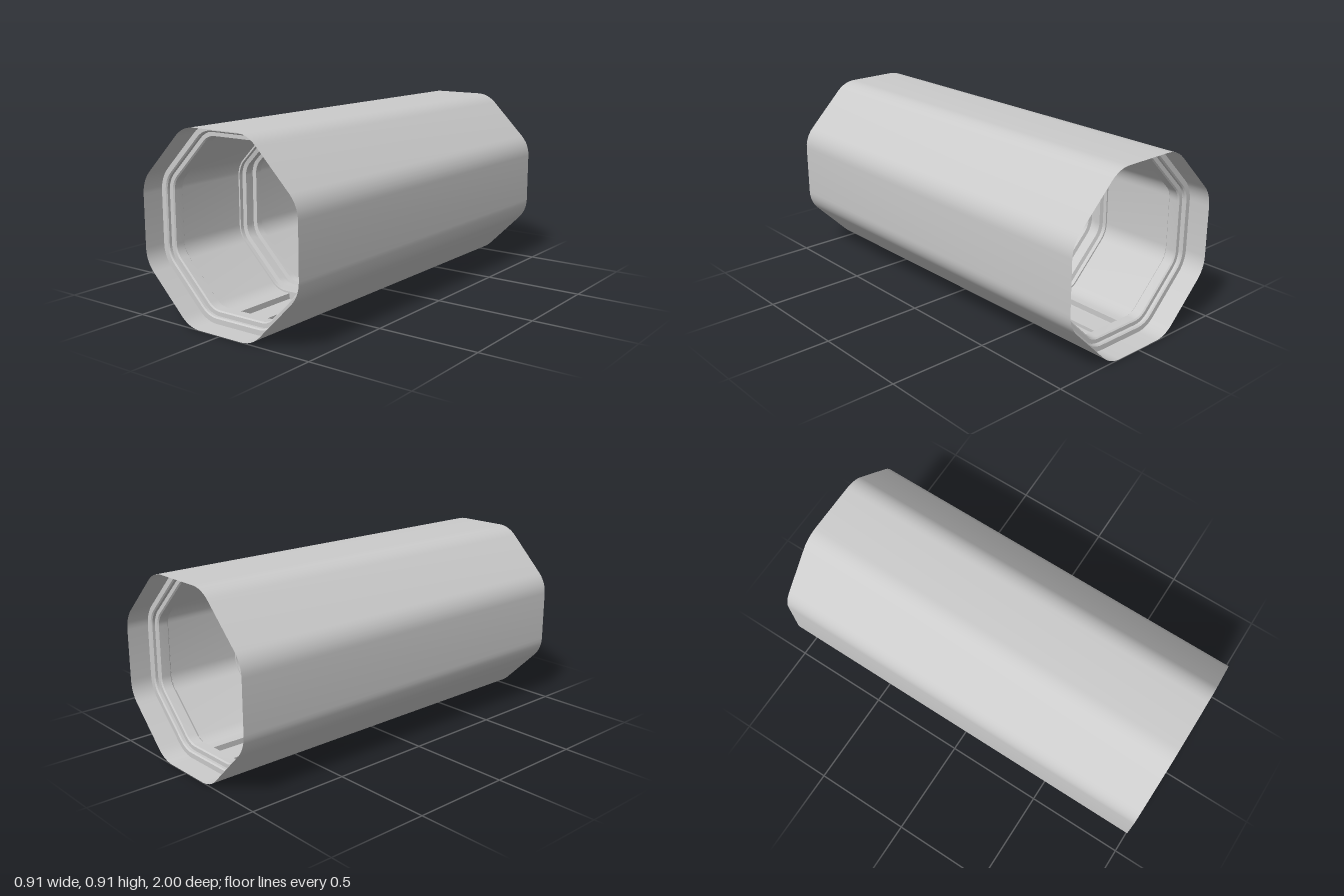
import * as THREE from 'three';
import { toCreasedNormals } from 'three/addons/utils/BufferGeometryUtils.js';

const R = 0.453;      // distance from axis to each flat wall
const AXIS_Y = 0.457;
const CORNER = 0.15;  // corner rounding radius of the outer wall
const STEPS = 6;

// Rounded octagon at wall distance r, counter-clockwise
function outline(r) {
  const round = CORNER - (R - r);
  const reach = (r - round) / Math.cos(Math.PI / 8);
  const points = [];
  for (let c = 0; c < 8; c++) {
    const mid = Math.PI / 8 + c * Math.PI / 4;
    for (let s = 0; s <= STEPS; s++) {
      const a = mid + (s / STEPS - 0.5) * Math.PI / 4;
      points.push(new THREE.Vector2(
        reach * Math.cos(mid) + round * Math.cos(a),
        reach * Math.sin(mid) + round * Math.sin(a)));
    }
  }
  return points;
}

// Sweep a profile of [wall distance, z] pairs around the octagon
function sweep(profile) {
  const pos = [];
  const index = [];
  const n = 8 * (STEPS + 1);
  profile.forEach(([r, z]) => outline(r).forEach((p) => pos.push(p.x, p.y, z)));
  for (let i = 0; i < profile.length - 1; i++) {
    for (let j = 0; j < n; j++) {
      const k = (j + 1) % n;
      const a = i * n + j, b = i * n + k, c = b + n, d = a + n;
      index.push(a, b, c, a, c, d);
    }
  }
  const g = new THREE.BufferGeometry();
  g.setAttribute('position', new THREE.Float32BufferAttribute(pos, 3));
  g.setIndex(index);
  return toCreasedNormals(g, 0.45);
}

// C-shaped wall lining on the -x side, stopping short of the centre line
function liningGeometry(depth) {
  const edge = -0.1;
  const outer = R - 0.002, inner = R - 0.03;
  const arc = (r) => [
    new THREE.Vector2(edge, r),
    ...outline(r).filter((p) => p.x < edge),
    new THREE.Vector2(edge, -r),
  ];
  const shape = new THREE.Shape([...arc(outer), ...arc(inner).reverse()]);
  const g = new THREE.ExtrudeGeometry(shape, { depth, bevelEnabled: false });
  g.translate(0, 0, -depth / 2);
  return toCreasedNormals(g, 0.45);
}

export function createModel() {
  const model = new THREE.Group();
  model.name = 'octagonalTube';
  const body = new THREE.Group();
  body.name = 'tubeBody';
  body.position.y = AXIS_Y;
  model.add(body);

  const material = new THREE.MeshStandardMaterial({ color: 0xcccccc, side: THREE.DoubleSide });
  const add = (name, geometry, x = 0, y = 0, z = 0) => {
    const mesh = new THREE.Mesh(geometry, material);
    mesh.name = name;
    mesh.position.set(x, y, z);
    body.add(mesh);
    return mesh;
  };

  // Thin outer skin, open at both ends
  add('outerShell', sweep([[R, -1], [R, 1]]));

  // Stepped frames just inside each open end
  const endFrame = sweep([
    [R, 0.05], [0.428, 0.05], [0.422, 0.044], [0.422, 0.03], [0.402, 0.03], [0.396, 0.024],
    [0.396, -0.024], [0.402, -0.03], [0.422, -0.03], [0.422, -0.044], [0.428, -0.05], [R, -0.05],
  ]);
  // Wider frames with a central groove where the sections meet
  const jointFrame = sweep([
    [R, 0.08], [0.415, 0.08], [0.415, 0.06], [0.396, 0.054], [0.396, 0.02], [0.415, 0.015],
    [0.415, -0.015], [0.396, -0.02], [0.396, -0.054], [0.415, -0.06], [0.415, -0.08], [R, -0.08],
  ]);
  for (const side of [1, -1]) {
    add('endFrame', endFrame, 0, 0, side * 0.84);
    add('jointFrame', jointFrame, 0, 0, side * 0.333);
  }

  // Wall linings and floor/ceiling rails in each of the three bays
  for (const [z, length] of [[0.6, 0.4], [0, 0.52], [-0.6, 0.4]]) {
    const lining = liningGeometry(length);
    add('rightLining', lining, 0, 0, z);
    add('leftLining', lining, 0, 0, z).rotation.z = Math.PI;
    const rail = new THREE.BoxGeometry(0.08, 0.016, length);
    add('floorRail', rail, 0, -R + 0.01, z);
    add('ceilingRail', rail, 0, R - 0.01, z);
  }
  return model;
}
